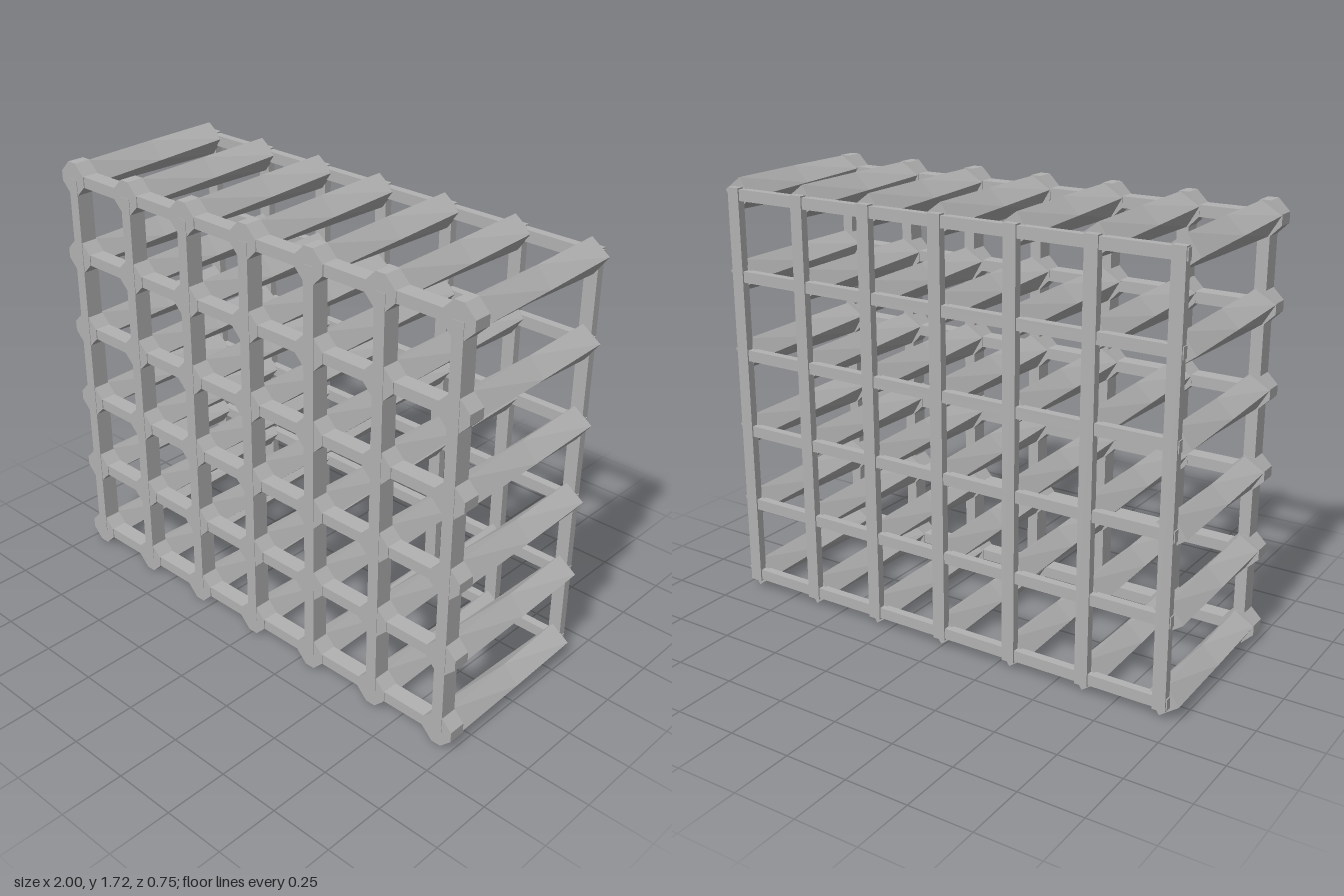
import * as THREE from 'three';

export function createModel() {
  const group = new THREE.Group();
  group.name = 'latticeRack';
  const grey = new THREE.MeshStandardMaterial({ color: 0xb2b2b2 });
  grey.name = 'grey';

  const xs = Array.from({ length: 7 }, (_, i) => -0.935 + (i * 1.87) / 6);
  const ys = Array.from({ length: 6 }, (_, i) => 0.065 + i * 0.318);
  const R = 0.065; // half diagonal of a rail
  const midY = (ys[0] + ys[5]) / 2;

  const add = (name, geometry, x, y, z) => {
    const mesh = new THREE.Mesh(geometry, grey);
    mesh.name = name;
    mesh.position.set(x, y, z);
    group.add(mesh);
  };

  // Diamond-section rail running front to back, with a slight twist
  const zBack = -0.345, zFront = 0.31;
  const bar = new THREE.CylinderGeometry(R, R, zFront - zBack, 4, 2).rotateX(Math.PI / 2);
  bar.translate(0, 0, (zFront + zBack) / 2);
  const p = bar.attributes.position;
  for (let i = 0; i < p.count; i++) {
    const t = (p.getZ(i) - zBack) / (zFront - zBack);
    const a = THREE.MathUtils.degToRad(9 - 23 * t);
    const x = p.getX(i), y = p.getY(i);
    p.setXY(i, x * Math.cos(a) - y * Math.sin(a), x * Math.sin(a) + y * Math.cos(a));
  }
  const rail = bar.toNonIndexed();
  rail.computeVertexNormals();

  // Blunt-cornered block where the front bars cross
  const c = 0.02;
  const outline = [[c, R], [-c, R], [-R, c], [-R, -c], [-c, -R], [c, -R], [R, -c], [R, c]];
  const node = new THREE.ExtrudeGeometry(
    new THREE.Shape(outline.map(([x, y]) => new THREE.Vector2(x, y))),
    { depth: 0.07, bevelEnabled: false }
  );

  for (const x of xs) {
    for (const y of ys) {
      add('depthRail', rail, x, y, 0);
      add('frontNode', node, x, y, 0.302);
    }
  }

  // Upright posts, front and back
  const frontPost = new THREE.BoxGeometry(0.046, ys[5] - ys[0], 0.07);
  const backPost = new THREE.BoxGeometry(0.052, 1.645, 0.032);
  for (const x of xs) {
    add('frontPost', frontPost, x, midY, 0.339);
    add('backPost', backPost, x, midY, -0.359);
  }

  // Horizontal bars, front and back
  const frontBar = new THREE.BoxGeometry(1.87, 0.044, 0.065);
  const backBar = new THREE.BoxGeometry(1.93, 0.044, 0.034);
  for (const y of ys) {
    add('frontBar', frontBar, 0, y, 0.336);
    add('backBar', backBar, 0, y, -0.352);
  }

  return group;
}
